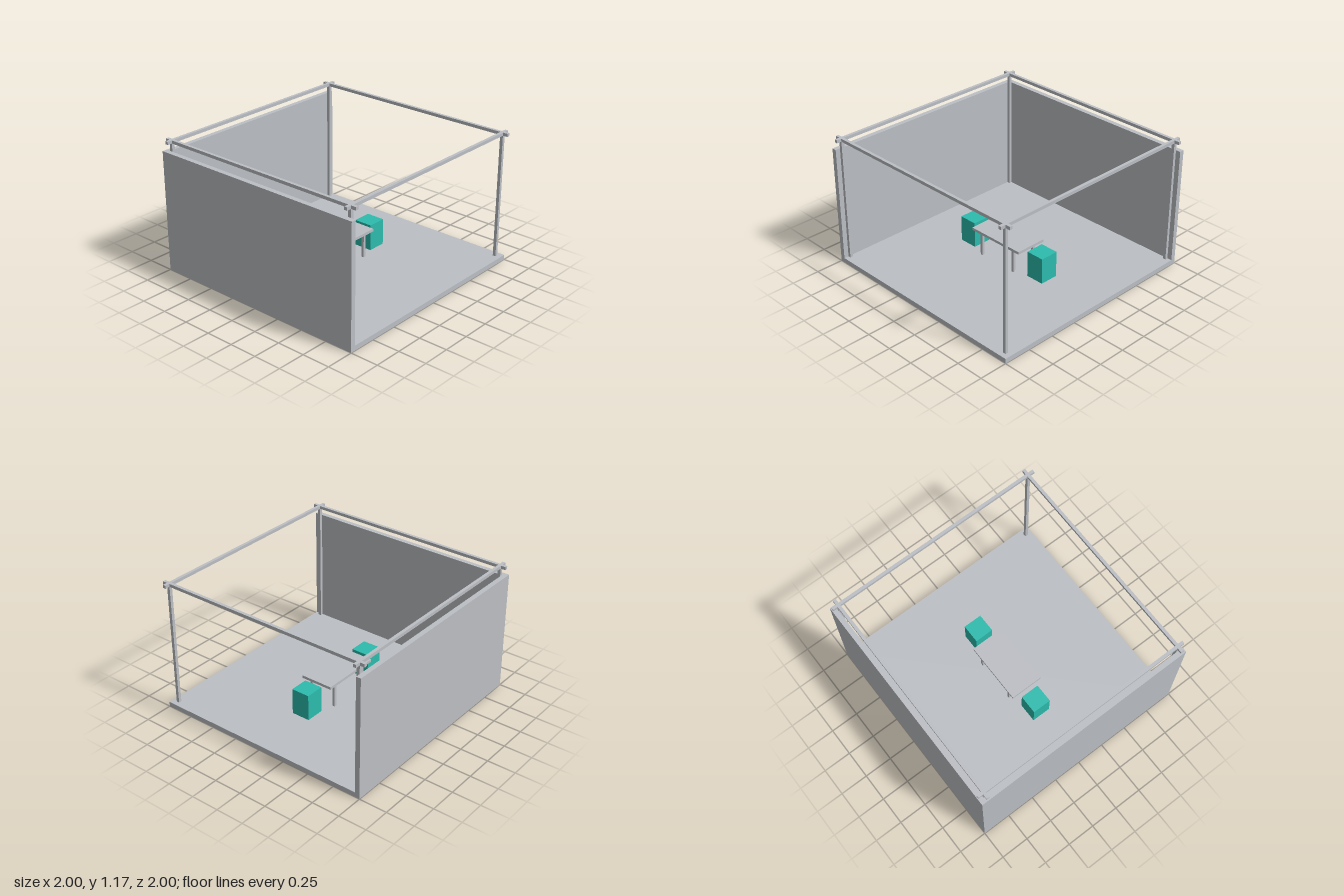
import * as THREE from 'three';

const grey = new THREE.MeshStandardMaterial({ color: 0xbcbfc4 });
grey.name = 'light grey';
const teal = new THREE.MeshStandardMaterial({ color: 0x2dbcae });
teal.name = 'teal';

// Box given by its [min, max] extent on each axis
function box(name, [x0, x1], [y0, y1], [z0, z1], material = grey) {
  const mesh = new THREE.Mesh(new THREE.BoxGeometry(x1 - x0, y1 - y0, z1 - z0), material);
  mesh.position.set((x0 + x1) / 2, (y0 + y1) / 2, (z0 + z1) / 2);
  mesh.name = name;
  return mesh;
}

const around = (centre, width) => [centre - width / 2, centre + width / 2];
const signs = [-1, 1];

export function createModel() {
  const model = new THREE.Group();
  model.name = 'exhibitionBooth';

  const floorTop = 0.043, wall = 0.043, wallTop = 1.07;
  const frameTop = 1.167, bar = 0.027, frameAt = 0.9435;

  // Floor slab and the two walls standing on it
  model.add(
    box('floor', [-1, 1], [0, floorTop], [-1, 1]),
    box('backWall', [-1, 1], [floorTop, wallTop], [-1, -1 + wall]),
    box('sideWall', [-1, -1 + wall], [floorTop, wallTop], [-1 + wall, 1])
  );

  // Frame: corner posts carrying beams that cross at the corners
  const frame = new THREE.Group();
  frame.name = 'frame';
  for (const s of signs) {
    const beamY = [frameTop - bar, frameTop];
    frame.add(box('crossBeam', [-1, 1], beamY, around(s * frameAt, bar)));
    frame.add(box('sideBeam', around(s * frameAt, bar), beamY, [-1, 1]));
    for (const t of signs) {
      frame.add(box('post', around(s * frameAt, bar), [floorTop, frameTop - bar], around(t * frameAt, bar)));
    }
  }
  model.add(frame);

  // Table
  const table = new THREE.Group();
  table.name = 'table';
  table.add(box('tableTop', [-0.277, 0.277], [0.257, 0.281], [-0.148, 0.148]));
  for (const s of signs) for (const t of signs) {
    table.add(box('tableLeg', around(s * 0.186, 0.023), [floorTop, 0.257], around(t * 0.117, 0.023)));
  }
  model.add(table);

  // Block seats at either end of the table
  for (const s of signs) {
    model.add(box('seat', around(s * 0.401, 0.168), [floorTop, 0.277], [-0.084, 0.084], teal));
  }
  return model;
}
